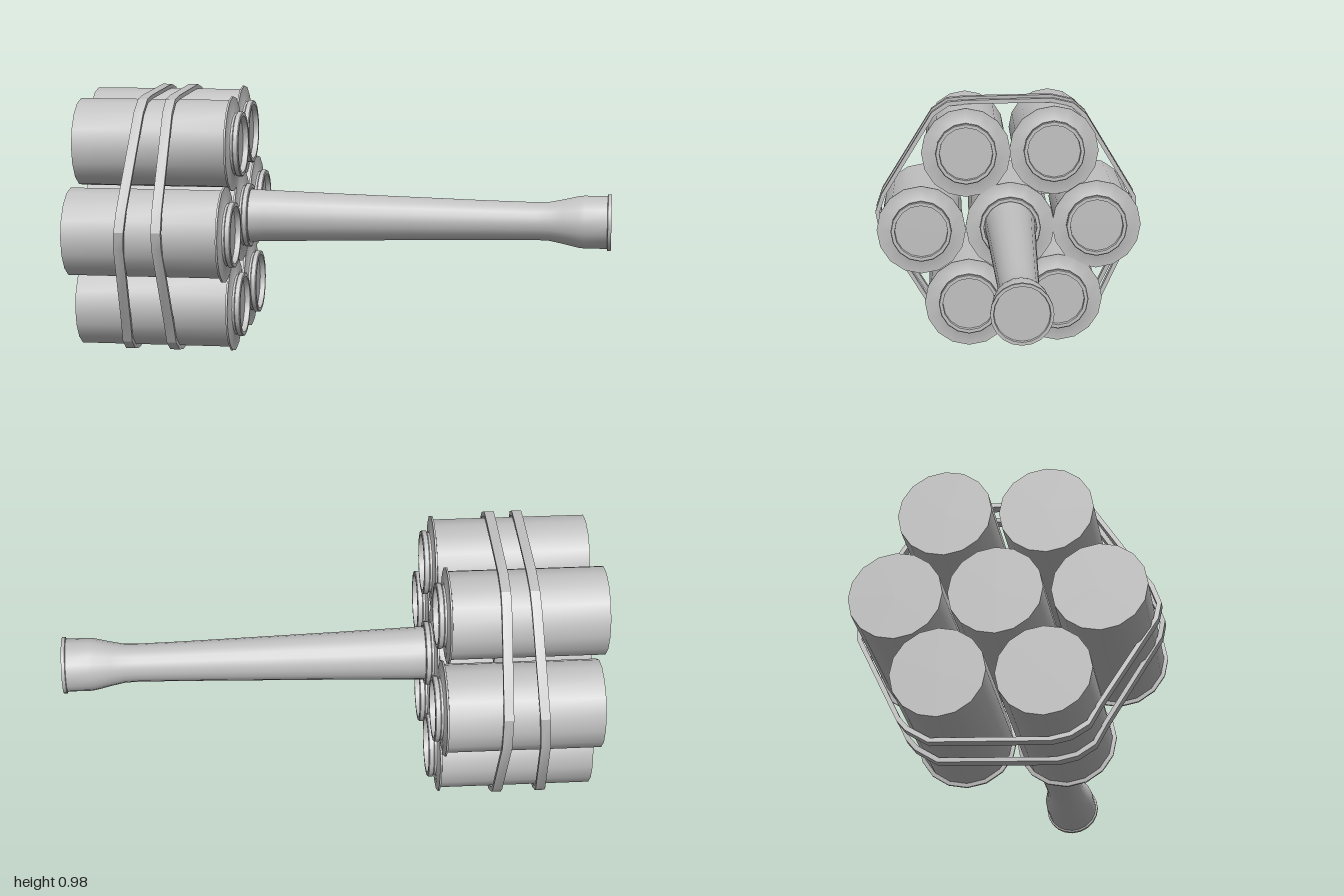
import * as THREE from 'three';
import { toCreasedNormals } from 'three/addons/utils/BufferGeometryUtils.js';

const steel = new THREE.MeshStandardMaterial({ color: 0xc0c0c0 });
steel.name = 'grey metal';

// Revolve [radius, x] points around the x axis
function turned(name, points, sides, x, y, z) {
  let geo = new THREE.LatheGeometry(points.map(([r, h]) => new THREE.Vector2(r, h)), sides);
  geo.rotateZ(-Math.PI / 2);
  geo = toCreasedNormals(geo, 0.6);
  const mesh = new THREE.Mesh(geo, steel);
  mesh.name = name;
  mesh.position.set(x, y, z);
  return mesh;
}

// Closed strap around the bundle; its x position may lean with height
function strap(name, outline, width, xAt) {
  const cy = 0.49, cz = 0, inset = 0.967;
  const shape = new THREE.Shape(outline.map(([z, y]) => new THREE.Vector2(z, y)));
  shape.holes.push(new THREE.Path(outline.map(([z, y]) =>
    new THREE.Vector2(cz + (z - cz) * inset, cy + (y - cy) * inset))));
  const geo = new THREE.ExtrudeGeometry(shape, { depth: width, bevelEnabled: false });
  geo.translate(0, 0, -width / 2);
  geo.rotateY(-Math.PI / 2); // shape x -> z, depth -> -x
  const p = geo.attributes.position;
  for (let i = 0; i < p.count; i++) p.setX(i, p.getX(i) + xAt(p.getY(i)));
  geo.computeVertexNormals();
  const mesh = new THREE.Mesh(toCreasedNormals(geo, 0.5), steel);
  mesh.name = name;
  return mesh;
}

export function createModel() {
  const model = new THREE.Group();
  model.name = 'bundledCharge';

  // Canisters: [y, z, x shift]
  const canisters = [
    [0.797, 0.165, 0], [0.802, -0.185, -0.02],
    [0.485, 0.345, 0], [0.505, -0.355, 0],
    [0.187, 0.155, 0], [0.205, -0.202, 0],
    [0.5, -0.01, 0],
  ];
  // Can body with closed base, flange, neck, lip and recessed mouth
  const canProfile = [
    [0, -0.98], [0.164, -0.98], [0.164, -0.411], [0.178, -0.409], [0.178, -0.402],
    [0.122, -0.4], [0.115, -0.396], [0.115, -0.388], [0.122, -0.384], [0.122, -0.368],
    [0.119, -0.365], [0.106, -0.365], [0.105, -0.385], [0, -0.385],
  ];
  canisters.forEach(([y, z, dx], i) => {
    model.add(turned(i < 6 ? 'outerCanister' : 'centreCanister', canProfile, 16, dx, y, z));
  });

  // Tapered handle with flared end cap
  const handleProfile = [
    [0, -0.39], [0.102, -0.39], [0.099, -0.3], [0.091, -0.05], [0.083, 0.25], [0.075, 0.55],
    [0.072, 0.72], [0.074, 0.77], [0.084, 0.82], [0.098, 0.88], [0.1, 0.9], [0.1, 0.985],
    [0.107, 0.987], [0.107, 1], [0.096, 1], [0.094, 0.99], [0, 0.99],
  ];
  model.add(turned('handle', handleProfile, 20, 0, 0.5, -0.01));

  // Two straps, outline as [z, y]
  const outline = [
    [0.535, 0.517], [0.51, 0.59], [0.303, 0.926], [0.24, 0.969], [0.165, 0.976],
    [-0.186, 0.983], [-0.274, 0.963], [-0.326, 0.917], [-0.531, 0.577], [-0.531, 0.449],
    [-0.377, 0.12], [-0.345, 0.08], [-0.266, 0.029], [0.154, 0.006], [0.223, 0.02],
    [0.286, 0.06], [0.326, 0.134], [0.523, 0.454],
  ];
  model.add(strap('straightStrap', outline, 0.036, () => -0.623));
  model.add(strap('leaningStrap', outline, 0.036, (y) => -0.795 + 0.07 * y));

  // Short strap pieces between the canisters
  for (const [y, z] of [[0.607, -0.182], [0.302, -0.01]]) {
    const piece = new THREE.Mesh(new THREE.BoxGeometry(0.036, 0.034, 0.074), steel);
    piece.name = 'innerStrapPiece';
    piece.position.set(-0.623, y, z);
    model.add(piece);
  }
  return model;
}
